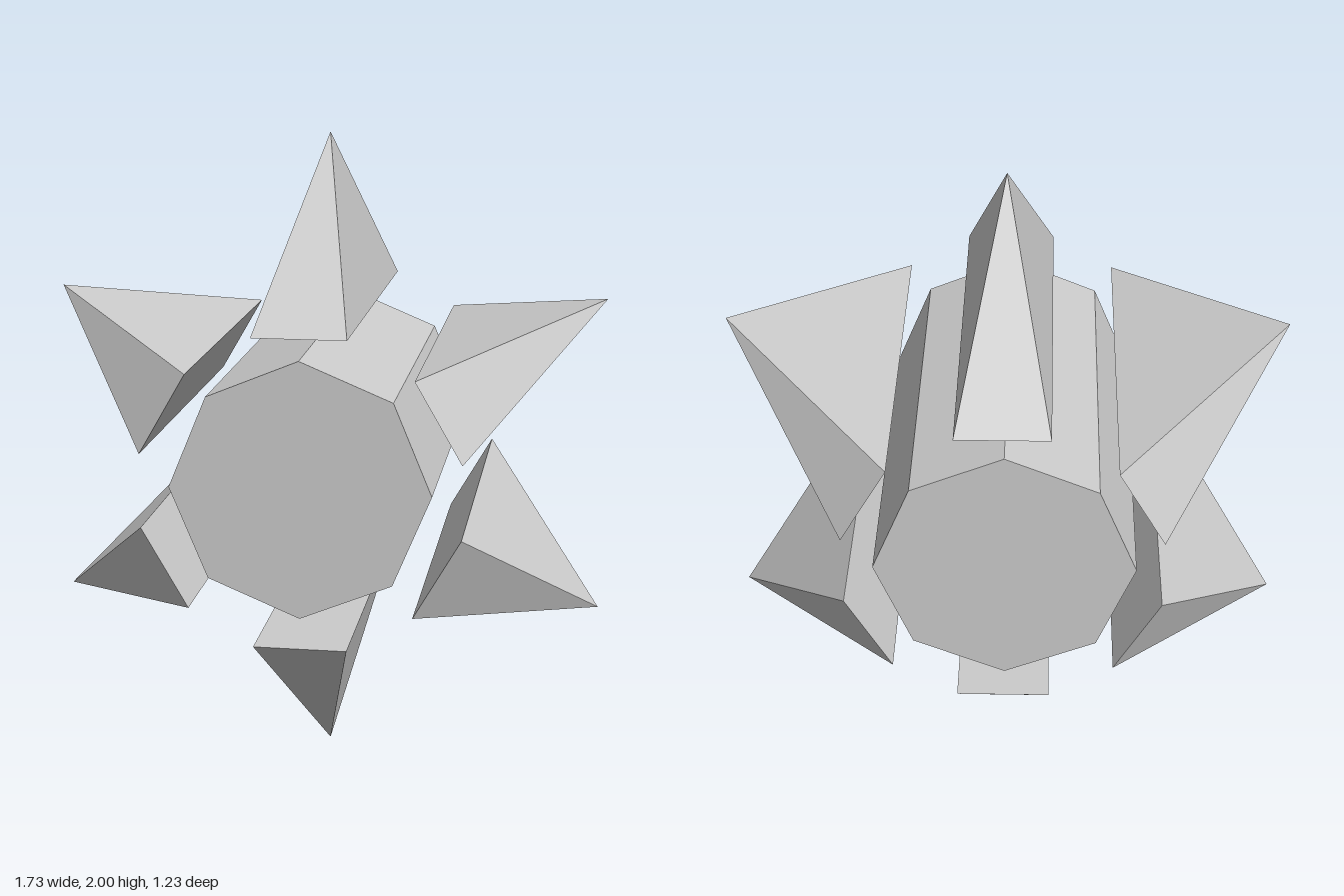
import * as THREE from 'three';

export function createModel() {
  const model = new THREE.Group();
  const material = new THREE.MeshStandardMaterial({ color: 0xcccccc, flatShading: true });

  // Octagonal core lying along z
  const coreGeometry = new THREE.CylinderGeometry(0.39, 0.39, 1.19, 8);
  coreGeometry.rotateX(Math.PI / 2);
  const core = new THREE.Mesh(coreGeometry, material);
  core.name = 'core';
  core.position.set(-0.005, 1.009, -0.01);
  model.add(core);

  // Ring of six four-sided spikes: rectangular base inward, tip outward
  const baseRadius = 0.467, tipRadius = 0.998;
  const spikeGeometry = new THREE.ConeGeometry(Math.SQRT2, 1, 4);
  spikeGeometry.rotateY(Math.PI / 4);
  spikeGeometry.scale(0.14, tipRadius - baseRadius, 0.617);
  spikeGeometry.translate(0, (baseRadius + tipRadius) / 2, 0);

  const spikes = new THREE.Group();
  spikes.name = 'spikes';
  spikes.position.y = 1.002;
  for (let i = 0; i < 6; i++) {
    const spike = new THREE.Mesh(spikeGeometry, material);
    spike.name = 'spike' + (i + 1);
    spike.rotation.z = (i * Math.PI) / 3;
    spikes.add(spike);
  }
  model.add(spikes);

  return model;
}
